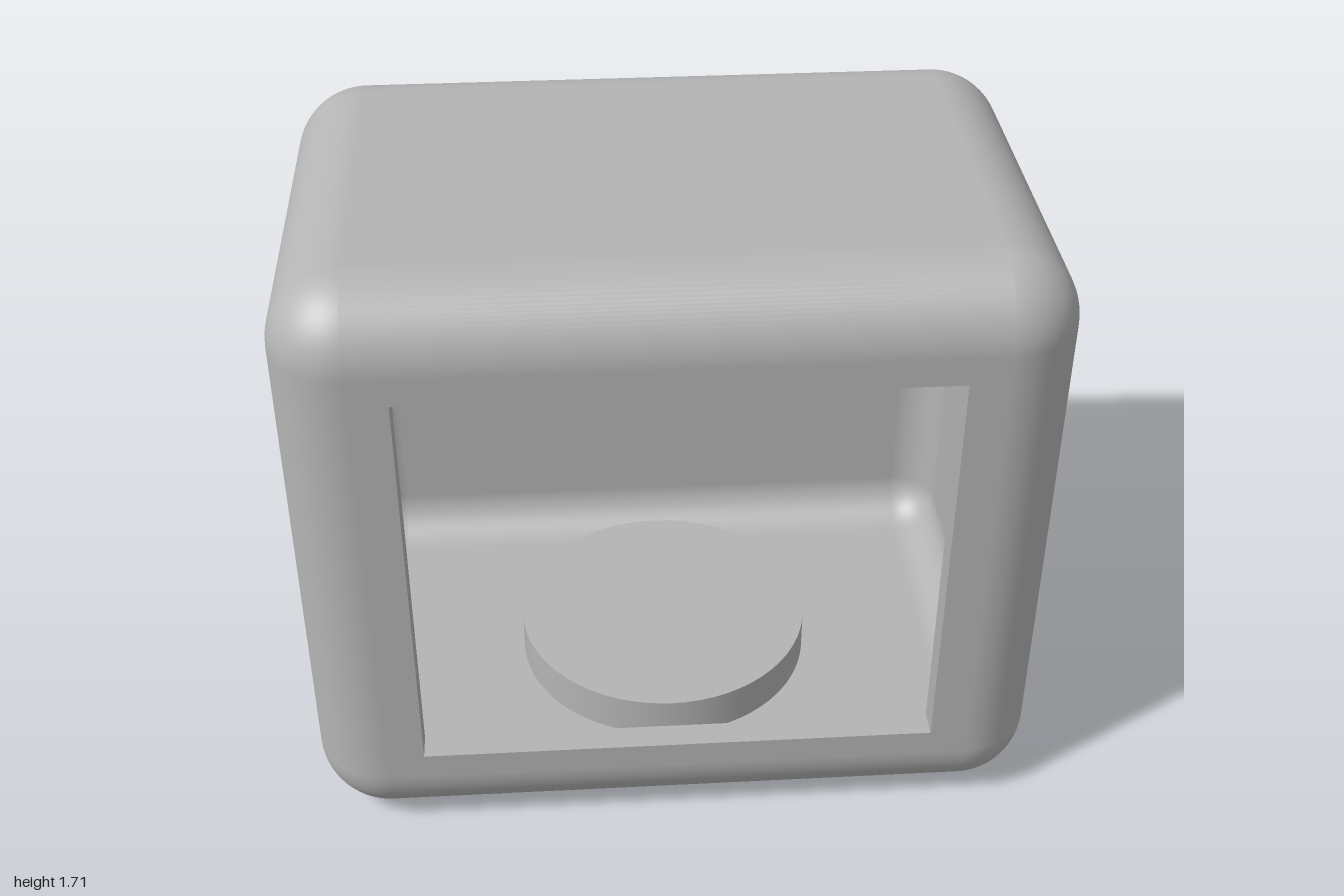
import * as THREE from 'three';
import { RoundedBoxGeometry } from 'three/addons/geometries/RoundedBoxGeometry.js';

const W = 2, H = 1.71, D = 1.35;   // outer size
const R = 0.2, T = 0.075;          // corner radius, wall thickness
const OPEN_W = 1.396, OPEN_H = 1.16; // front window
const HOLE_R = 0.352, HOLE_TOP = 0.12; // round recess under the base

// Turns a surface inside out
function flip(geo) {
  const g = geo.index ? geo.toNonIndexed() : geo;
  const p = g.attributes.position, n = g.attributes.normal;
  const a = new THREE.Vector3(), b = new THREE.Vector3();
  for (const attr of [p, n]) {
    for (let i = 0; i < attr.count; i += 3) {
      a.fromBufferAttribute(attr, i + 1);
      b.fromBufferAttribute(attr, i + 2);
      attr.setXYZ(i + 1, b.x, b.y, b.z);
      attr.setXYZ(i + 2, a.x, a.y, a.z);
    }
  }
  for (let i = 0; i < n.count; i++) n.setXYZ(i, -n.getX(i), -n.getY(i), -n.getZ(i));
  return g;
}

// Rounded box without the flat middle of its front and bottom faces
function openBox(w, h, d, r) {
  const src = new RoundedBoxGeometry(w, h, d, 10, r);
  const p = src.attributes.position, n = src.attributes.normal;
  const pos = [], nor = [];
  for (let i = 0; i < p.count; i += 3) {
    const ids = [i, i + 1, i + 2];
    const front = ids.every(k => p.getZ(k) > d / 2 - 1e-5);
    const bottom = ids.every(k => p.getY(k) < -h / 2 + 1e-5);
    if (front || bottom) continue;
    for (const k of ids) {
      pos.push(p.getX(k), p.getY(k), p.getZ(k));
      nor.push(n.getX(k), n.getY(k), n.getZ(k));
    }
  }
  const g = new THREE.BufferGeometry();
  g.setAttribute('position', new THREE.Float32BufferAttribute(pos, 3));
  g.setAttribute('normal', new THREE.Float32BufferAttribute(nor, 3));
  return g.translate(0, H / 2, 0);
}

function rect(w, h, Type = THREE.Shape) {
  const s = new Type();
  s.moveTo(-w / 2, -h / 2);
  s.lineTo(w / 2, -h / 2);
  s.lineTo(w / 2, h / 2);
  s.lineTo(-w / 2, h / 2);
  s.closePath();
  return s;
}

// Flat base panel with a round hole, facing down
function basePanel(holeRadius) {
  const s = rect(W - 2 * R, D - 2 * R);
  s.holes.push(new THREE.Path().absarc(0, 0, holeRadius, 0, Math.PI * 2, true));
  return new THREE.ShapeGeometry(s, 64).rotateX(Math.PI / 2);
}

export function createModel() {
  const group = new THREE.Group();
  const grey = new THREE.MeshStandardMaterial({ color: 0xb4b4b4 });
  grey.name = 'grey';
  const add = (name, geo) => {
    const mesh = new THREE.Mesh(geo, grey);
    mesh.name = name;
    group.add(mesh);
  };

  // Outer and inner skins of the hollow case
  add('outerShell', openBox(W, H, D, R));
  add('innerShell', flip(openBox(W - 2 * T, H - 2 * T, D - 2 * T, R - T)));

  // Front wall with its window
  const front = rect(W - 2 * R, H - 2 * R);
  front.holes.push(rect(OPEN_W, OPEN_H, THREE.Path));
  add('frontWall', new THREE.ExtrudeGeometry(front, { depth: T, bevelEnabled: false })
    .translate(0, H / 2, D / 2 - T));

  // Base, outside and inside
  add('baseOutside', basePanel(HOLE_R));
  add('baseInside', flip(basePanel(HOLE_R + T)).translate(0, T, 0));

  // Round recess in the base
  add('recessWall', flip(new THREE.CylinderGeometry(HOLE_R, HOLE_R, HOLE_TOP, 64, 1, true))
    .translate(0, HOLE_TOP / 2, 0));
  add('recessCeiling', new THREE.CircleGeometry(HOLE_R, 64).rotateX(Math.PI / 2)
    .translate(0, HOLE_TOP, 0));

  // Raised boss over the recess, inside the case
  add('bossWall', new THREE.CylinderGeometry(HOLE_R + T, HOLE_R + T, HOLE_TOP, 64, 1, true)
    .translate(0, T + HOLE_TOP / 2, 0));
  add('bossTop', new THREE.CircleGeometry(HOLE_R + T, 64).rotateX(-Math.PI / 2)
    .translate(0, T + HOLE_TOP, 0));

  return group;
}
